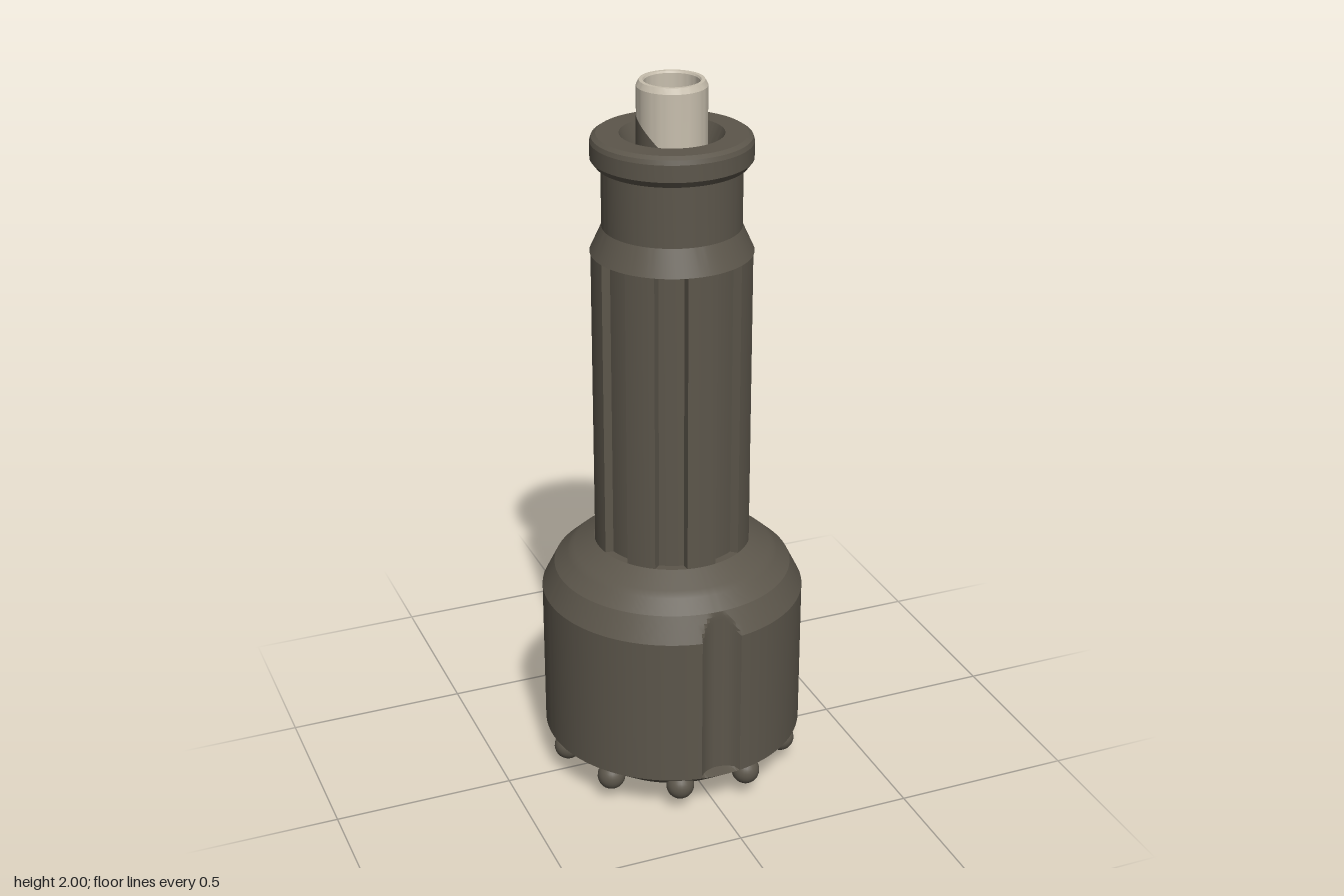
import * as THREE from 'three';
import { toCreasedNormals } from 'three/addons/utils/BufferGeometryUtils.js';

const SEG = 128;
const BORE = 0.097;

function lathe(points, segments = SEG) {
  return new THREE.LatheGeometry(points.map(([r, y]) => new THREE.Vector2(r, y)), segments);
}

// Cuts two vertical round-bottomed troughs (front and back) into a lathe by pulling vertices inwards
function cutFlushSlots(geometry, fromY) {
  const centre = 0.4, radius = 0.07;
  const p = geometry.attributes.position;
  for (let i = 0; i < p.count; i++) {
    const x = p.getX(i), z = p.getZ(i), r = Math.hypot(x, z);
    if (p.getY(i) < fromY || r < 0.2) continue;
    const s = Math.abs(x) / r, c = Math.abs(z) / r;
    const d = radius * radius - centre * centre * s * s;
    if (d <= 0 || c < 0.5) continue;
    const k = Math.min(1, (centre * c - Math.sqrt(d)) / r);
    p.setX(i, x * k);
    p.setZ(i, z * k);
  }
  return geometry;
}

// Shaft cross-section: eight ribs with shallow grooves between them
function splineShape() {
  const shape = new THREE.Shape();
  const outer = 0.217, floor = 0.195, half = 0.19, steps = 6;
  const pitch = Math.PI / 4;
  for (let i = 0; i < 8; i++) {
    const a = i * pitch;
    for (let j = 0; j <= steps; j++) {
      const t = a - half + (2 * half * j) / steps;
      const x = outer * Math.cos(t), y = outer * Math.sin(t);
      if (i + j === 0) shape.moveTo(x, y); else shape.lineTo(x, y);
    }
    for (let j = 0; j <= steps; j++) {
      const t = a + half + 0.03 + ((pitch - 2 * half - 0.06) * j) / steps;
      shape.lineTo(floor * Math.cos(t), floor * Math.sin(t));
    }
  }
  shape.closePath();
  shape.holes.push(new THREE.Path().absarc(0, 0, 0.12, 0, Math.PI * 2, true));
  return shape;
}

export function createModel() {
  const group = new THREE.Group();
  const steel = new THREE.MeshStandardMaterial({ color: 0x5c564b });
  const paleTube = new THREE.MeshStandardMaterial({ color: 0xc8bfae });

  function add(name, geometry, material = steel) {
    const mesh = new THREE.Mesh(geometry, material);
    mesh.name = name;
    group.add(mesh);
    return mesh;
  }

  // Head: flat face, bevelled gauge ring, straight wall and rounded shoulder
  const headProfile = [[BORE, 0.035], [0.25, 0.035], [0.364, 0.12], [0.364, 0.127], [0.364, 0.55]];
  const shoulder = [[0.364, 0.55], [0.329, 0.62], [0.285, 0.66], [0.217, 0.7]];
  for (let i = 0; i < 3; i++) {
    const [a, b] = [shoulder[i], shoulder[i + 1]];
    for (let j = 1; j <= 6; j++) {
      headProfile.push([a[0] + (b[0] - a[0]) * j / 6, a[1] + (b[1] - a[1]) * j / 6]);
    }
  }
  headProfile.push([0.17, 0.7]);
  add('head', toCreasedNormals(cutFlushSlots(lathe(headProfile, 240), 0.125), 0.3));

  // Splined shaft
  const shaft = new THREE.ExtrudeGeometry(splineShape(), { depth: 0.84, bevelEnabled: false, curveSegments: 32 });
  shaft.rotateX(-Math.PI / 2).translate(0, 0.7, 0);
  add('splinedShaft', toCreasedNormals(shaft, 0.3));

  // Neck, collar with countersunk mouth, and the through bore
  add('neckAndCollar', toCreasedNormals(lathe([
    [0.17, 1.54], [0.217, 1.54], [0.185, 1.61], [0.185, 1.775], [0.2, 1.778], [0.213, 1.795],
    [0.213, 1.84], [0.209, 1.852], [0.197, 1.86], [0.137, 1.86], [BORE, 1.77], [BORE, 0.035],
  ]), 0.3));

  // Pale tube standing out of the bore
  add('valveTube', toCreasedNormals(lathe([
    [0.072, 1.45], [0.0925, 1.45], [0.0925, 1.985], [0.085, 2], [0.075, 2], [0.072, 1.995], [0.072, 1.45],
  ], 64), 0.3), paleTube);

  // Dark film on the tube with a slanted upper edge
  const film = new THREE.CylinderGeometry(0.0932, 0.0932, 0.3, 64, 1, true);
  const p = film.attributes.position;
  for (let i = 0; i < p.count; i++) {
    const lean = (-0.88 * p.getX(i) - 0.47 * p.getZ(i)) / 0.0932;
    p.setY(i, p.getY(i) > 0 ? 1.82 + 0.09 * lean : 1.6);
  }
  add('tubeFilm', film);

  // Round cutting buttons: ten on the gauge ring, six on the face
  function buttonRing(name, count, ringRadius, y, radius, start) {
    const geometry = new THREE.SphereGeometry(radius, 24, 16);
    for (let i = 0; i < count; i++) {
      const a = start + (i * Math.PI * 2) / count;
      add(name, geometry).position.set(ringRadius * Math.sin(a), y, ringRadius * Math.cos(a));
    }
  }
  buttonRing('gaugeButton', 10, 0.32, 0.077, 0.039, Math.PI / 10);
  buttonRing('faceButton', 6, 0.183, 0.037, 0.037, 0);

  return group;
}
